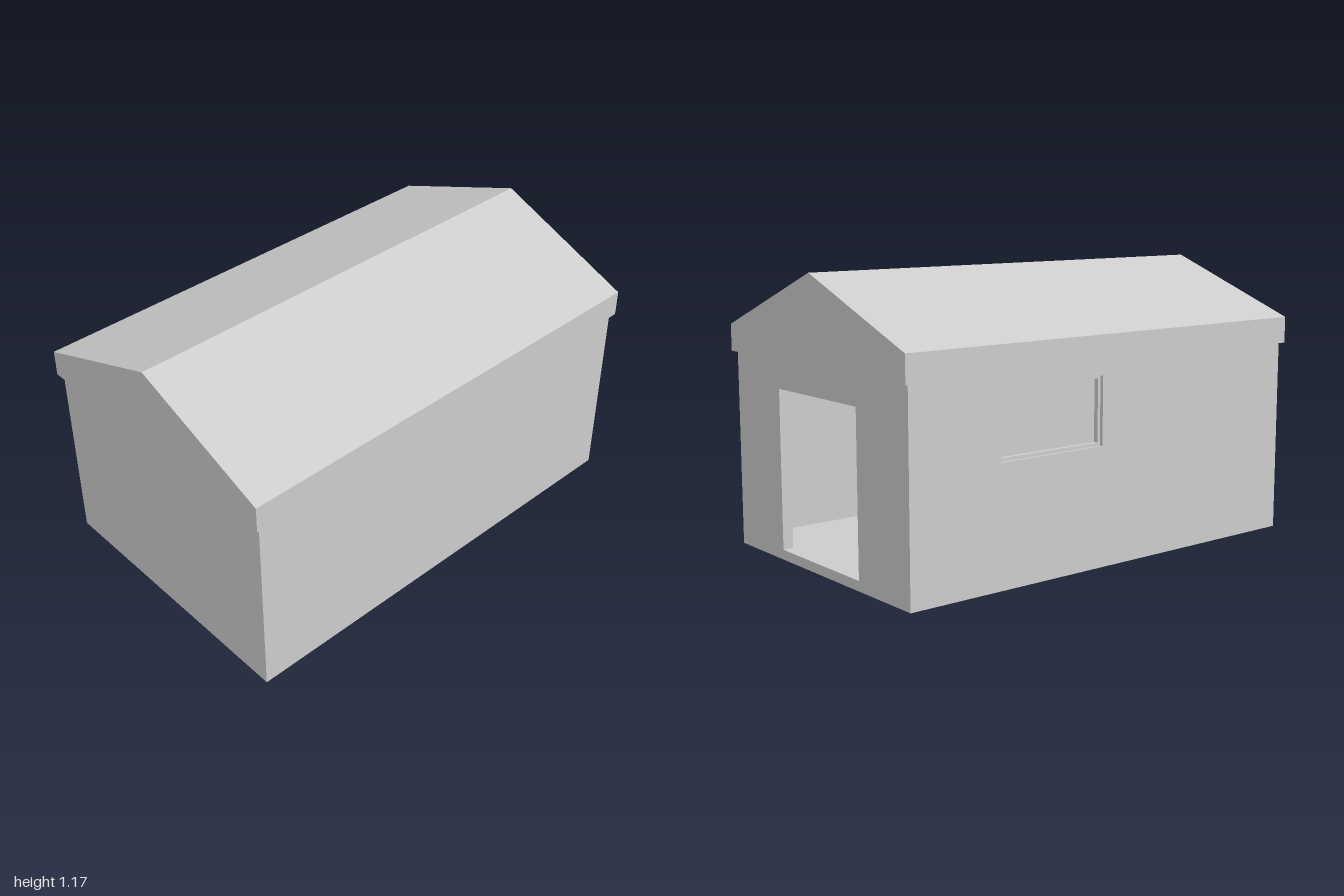
import * as THREE from 'three';
import { RoundedBoxGeometry } from 'three/addons/geometries/RoundedBoxGeometry.js';

const material = new THREE.MeshStandardMaterial({ color: 0xcccccc });
const W = 0.98, D = 0.615, T = 0.045, FLOOR = 0.04, EAVE = 0.82;

function add(parent, name, geometry, x = 0, y = 0, z = 0) {
  const mesh = new THREE.Mesh(geometry, material);
  mesh.name = name;
  mesh.position.set(x, y, z);
  parent.add(mesh);
  return mesh;
}

// Box given by its lower and upper corners
function block(parent, name, [x0, y0, z0], [x1, y1, z1]) {
  return add(parent, name, new THREE.BoxGeometry(x1 - x0, y1 - y0, z1 - z0),
    (x0 + x1) / 2, (y0 + y1) / 2, (z0 + z1) / 2);
}

function rectangle(Type, x0, y0, x1, y1) {
  const points = [[x0, y0], [x1, y0], [x1, y1], [x0, y1]];
  return new Type(points.map(([x, y]) => new THREE.Vector2(x, y)));
}

// Flat wall with one rectangular opening
function wallWithOpening(outer, opening) {
  const shape = rectangle(THREE.Shape, ...outer);
  shape.holes.push(rectangle(THREE.Path, ...opening));
  return new THREE.ExtrudeGeometry(shape, { depth: T, bevelEnabled: false });
}

function createShell() {
  const shell = new THREE.Group();
  shell.name = 'shell';
  block(shell, 'floor', [-W, 0, -D], [W, FLOOR, D]);
  block(shell, 'frontWall', [-W, FLOOR, D - T], [W, EAVE, D]);
  block(shell, 'rightWall', [-W, FLOOR, -D + T], [-W + T, EAVE, D - T]);

  // Back wall with a recessed window
  add(shell, 'backWall', wallWithOpening([-W, FLOOR, W, EAVE], [0.06, 0.49, 0.57, 0.77]), 0, 0, -D);
  block(shell, 'windowPane', [0.06, 0.49, -D + 0.035], [0.57, 0.77, -D + 0.045]);
  block(shell, 'windowSill', [0.06, 0.49, -D + 0.015], [0.57, 0.503, -D + 0.035]);
  block(shell, 'windowHead', [0.06, 0.757, -D + 0.015], [0.57, 0.77, -D + 0.035]);
  for (const x of [0.06, 0.557]) {
    block(shell, 'windowJamb', [x, 0.503, -D + 0.015], [x + 0.013, 0.757, -D + 0.035]);
  }

  // End wall with the doorway
  const doorWall = add(shell, 'doorWall',
    wallWithOpening([-D + T, FLOOR, D - T, EAVE], [-0.28, FLOOR + 0.001, 0.28, 0.7]), W - T, 0, 0);
  doorWall.rotation.y = Math.PI / 2;
  return shell;
}

// Solid gabled roof with an upright fascia
function createRoof() {
  const half = 0.63;
  const profile = new THREE.Shape([
    [-half, EAVE], [half, EAVE], [half, 0.932], [0, 1.175], [-half, 0.932],
  ].map(([z, y]) => new THREE.Vector2(z, y)));
  const geometry = new THREE.ExtrudeGeometry(profile, { depth: 2, bevelEnabled: false });
  geometry.translate(0, 0, -1).rotateY(Math.PI / 2);
  const roof = new THREE.Group();
  roof.name = 'roof';
  add(roof, 'gableRoof', geometry);
  return roof;
}

// Two-level bunk along the far end wall
function createBunk() {
  const bunk = new THREE.Group();
  bunk.name = 'bunk';
  const x0 = -W + T, x1 = -0.58, z0 = -0.57, z1 = 0.21;
  block(bunk, 'bedBase', [x0, FLOOR, z0], [x1, 0.105, z1]);
  block(bunk, 'mattress', [x0, 0.105, z0], [x1 - 0.01, 0.132, z1]);
  block(bunk, 'headCushion', [x0, 0.132, 0.01], [x1 - 0.01, 0.155, z1]);
  add(bunk, 'pillow', new RoundedBoxGeometry(0.24, 0.045, 0.09, 3, 0.018), -0.75, 0.177, 0.155);
  block(bunk, 'wallRail', [x0, 0.155, z0], [x0 + 0.02, 0.18, 0.11]);
  block(bunk, 'wallPanel', [x0, 0.2, z0], [x0 + 0.01, 0.45, 0.175]);
  block(bunk, 'upperDeck', [x0, 0.49, -0.57], [x1, 0.52, 0.57]);
  for (const y of [0.565, 0.625]) {
    block(bunk, 'guardRail', [x1 - 0.02, y, -0.57], [x1, y + 0.012, 0.57]);
  }
  block(bunk, 'guardPost', [x1 - 0.02, 0.52, -0.28], [x1, 0.72, -0.24]);
  return bunk;
}

function createFurnishings() {
  const items = new THREE.Group();
  items.name = 'furnishings';
  // Upright drum beside the bunk
  add(items, 'drum', new THREE.CylinderGeometry(0.09, 0.09, 0.22, 32), 0.1, 0.15, 0.3);
  // Shelf and low bench along the back wall
  block(items, 'shelf', [-0.5, 0.455, -0.57], [-0.2, 0.468, 0.1]);
  block(items, 'bench', [-0.5, FLOOR, -0.57], [0.6, 0.13, -0.53]);
  add(items, 'floorBall', new THREE.SphereGeometry(0.05, 24, 16), 0.45, 0.09, -0.44);
  return items;
}

export function createModel() {
  const model = new THREE.Group();
  model.name = 'cabin';
  model.add(createShell(), createRoof(), createBunk(), createFurnishings());
  return model;
}
